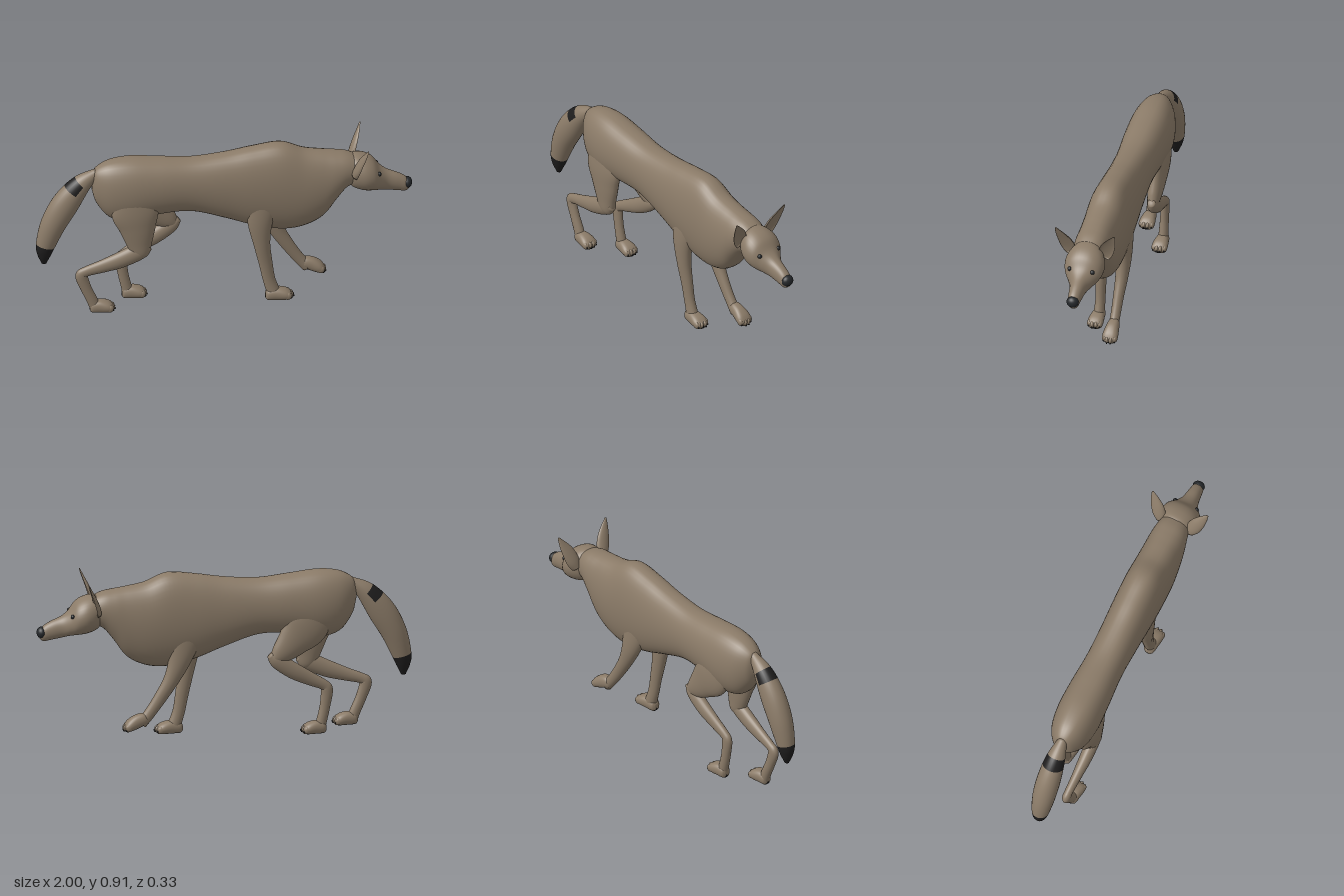
import * as THREE from 'three';

const fur = new THREE.MeshStandardMaterial({ color: 0x8b7b68 });
fur.name = 'brown fur';
const dark = new THREE.MeshStandardMaterial({ color: 0x1e1d1d });
dark.name = 'dark fur and pads';
const black = new THREE.MeshStandardMaterial({ color: 0x25282b });
black.name = 'nose and eye black';

// Smooth skin over elliptical rings [x, y, z, a, b]: a in the side plane, b sideways.
// opts: upright keeps rings in vertical planes, pow squares the ring, cup hollows the front,
// isDark(u, c) marks faces by ring position u and cosine c around the ring.
function loft(name, rings, { steps = 6, sides = 28, upright = false, pow = 1, cup = 0, isDark = null } = {}) {
  const curve = (f) => new THREE.CatmullRomCurve3(rings.map(f), false, 'catmullrom', 0.5);
  const path = curve((r) => new THREE.Vector3(r[0], r[1], r[2]));
  const size = curve((r) => new THREE.Vector3(r[3], r[4], 0));
  const n = (rings.length - 1) * steps;
  const pos = [];
  const faces = [[], []];
  for (let i = 0; i <= n; i++) {
    const p = path.getPoint(i / n);
    const s = size.getPoint(i / n);
    const t = upright ? new THREE.Vector3(1, 0, 0) : path.getTangent(i / n);
    const B = new THREE.Vector3(0, 0, 1).addScaledVector(t, -t.z).normalize();
    const A = new THREE.Vector3().crossVectors(B, t);
    for (let j = 0; j < sides; j++) {
      const th = (j / sides) * Math.PI * 2;
      let c = Math.cos(th);
      const sn = Math.sin(th);
      if (cup && c > 0) c *= -cup;
      const w = Math.sign(sn) * Math.abs(sn) ** pow;
      const v = p.clone().addScaledVector(A, c * s.x).addScaledVector(B, w * s.y);
      pos.push(v.x, v.y, v.z);
    }
  }
  const ends = [path.getPoint(0), path.getPoint(1)];
  ends.forEach((e) => pos.push(e.x, e.y, e.z));
  const first = (n + 1) * sides;
  for (let j = 0; j < sides; j++) {
    const k = (j + 1) % sides;
    const c = Math.cos(((j + 0.5) / sides) * Math.PI * 2);
    const bin = (u) => faces[isDark && isDark(u, c) ? 1 : 0];
    for (let i = 0; i < n; i++) {
      const a = i * sides + j, b = i * sides + k;
      bin((i + 0.5) / steps).push(a, b, b + sides, a, b + sides, a + sides);
    }
    bin(0).push(first, k, j);
    bin(n / steps).push(first + 1, n * sides + j, n * sides + k);
  }
  const g = new THREE.BufferGeometry();
  g.setAttribute('position', new THREE.Float32BufferAttribute(pos, 3));
  g.setIndex([...faces[0], ...faces[1]]);
  g.addGroup(0, faces[0].length, 0);
  g.addGroup(faces[0].length, faces[1].length, 1);
  g.computeVertexNormals();
  const mesh = new THREE.Mesh(g, [fur, dark]);
  mesh.name = name;
  return mesh;
}

// Upright section given as x, top, bottom, half width
const slice = ([x, top, bottom, w]) => [x, (top + bottom) / 2, 0, (top - bottom) / 2, w];

function ball(name, mat, x, y, z, rx, ry, rz) {
  const m = new THREE.Mesh(new THREE.SphereGeometry(1, 20, 14), mat);
  m.name = name;
  m.position.set(x, y, z);
  m.scale.set(rx, ry, rz);
  return m;
}

// Paw with dark sole, rounded toes and claws
function paw(name, x, y, z, tilt = 0, stretch = 1) {
  const g = new THREE.Group();
  g.name = name;
  const sections = [
    [-0.062, 0.045, 0.012, 0.012], [-0.05, 0.064, 0.002, 0.028], [-0.01, 0.071, 0, 0.036],
    [0.03, 0.062, 0, 0.042], [0.055, 0.046, 0.003, 0.037], [0.064, 0.034, 0.01, 0.02],
  ];
  g.add(loft('foot', sections.map(slice), { upright: true, pow: 0.75, isDark: (u, c) => c < -0.72 }));
  for (let i = 0; i < 4; i++) {
    const side = (i - 1.5) / 1.5;
    const tx = 0.054 - 0.012 * side * side;
    g.add(ball('toe', fur, tx, 0.027, side * 0.03, 0.018, 0.02, 0.012));
    g.add(ball('claw', dark, tx + 0.016, 0.02, side * 0.03, 0.006, 0.007, 0.004));
  }
  g.position.set(x, y, z);
  g.rotation.z = tilt;
  g.scale.x = stretch;
  return g;
}

export function createModel() {
  const model = new THREE.Group();
  model.name = 'walking canine';

  // Torso and neck
  const torso = [
    [-0.705, 0.80, 0.71, 0.02], [-0.68, 0.838, 0.63, 0.06], [-0.61, 0.872, 0.545, 0.1],
    [-0.5, 0.883, 0.52, 0.119], [-0.35, 0.868, 0.548, 0.116], [-0.18, 0.853, 0.55, 0.106],
    [0.0, 0.868, 0.492, 0.108], [0.15, 0.893, 0.435, 0.114], [0.3, 0.908, 0.4, 0.117],
    [0.42, 0.862, 0.412, 0.115], [0.52, 0.843, 0.465, 0.108], [0.59, 0.832, 0.56, 0.1],
    [0.65, 0.82, 0.63, 0.088], [0.72, 0.79, 0.65, 0.07],
  ];
  model.add(loft('torso', torso.map(slice), { upright: true, pow: 0.82, sides: 40 }));

  // Head and muzzle
  const head = [
    [0.645, 0.77, 0.66, 0.045], [0.68, 0.806, 0.622, 0.086], [0.735, 0.802, 0.603, 0.106],
    [0.785, 0.776, 0.597, 0.098], [0.825, 0.727, 0.592, 0.07], [0.865, 0.698, 0.583, 0.047],
    [0.92, 0.674, 0.573, 0.037], [0.96, 0.65, 0.567, 0.031], [0.98, 0.625, 0.58, 0.018],
  ];
  model.add(loft('head', head.map(slice), { upright: true, pow: 0.9, sides: 36 }));
  model.add(ball('nose', black, 0.97, 0.614, 0, 0.027, 0.031, 0.033));

  // Eyes and cupped ears
  for (const s of [1, -1]) {
    model.add(ball('eye', black, 0.814, 0.71, s * 0.062, 0.011, 0.012, 0.012));
    model.add(loft('ear', [
      [0.69, 0.725, s * 0.085, 0.026, 0.03], [0.7, 0.765, s * 0.1, 0.026, 0.039],
      [0.715, 0.815, s * 0.118, 0.02, 0.037], [0.732, 0.865, s * 0.141, 0.012, 0.023],
      [0.745, 0.907, s * 0.16, 0.004, 0.005],
    ].map(([x, y, z, a, b]) => [x, y, z, -a, -b]), { cup: 0.35 }));
  }

  // Tail with dark patch and tip
  model.add(loft('tail', [
    [-0.675, 0.815, 0, 0.022, 0.022], [-0.765, 0.742, 0, 0.055, 0.05],
    [-0.843, 0.637, 0, 0.073, 0.062], [-0.907, 0.52, 0, 0.068, 0.061],
    [-0.948, 0.4, 0, 0.053, 0.048], [-0.957, 0.34, 0, 0.038, 0.035], [-0.958, 0.283, 0, 0.013, 0.012],
  ], { steps: 10, isDark: (u, c) => u > 4.1 || (u > 0.9 && u < 1.45 && c < -0.1) }));

  // Front legs: left planted, right reaching
  model.add(loft('leftFrontLeg', [
    [0.2, 0.62, 0.065, 0.1, 0.04], [0.18, 0.48, 0.072, 0.068, 0.04], [0.188, 0.35, 0.072, 0.045, 0.035],
    [0.21, 0.22, 0.068, 0.036, 0.028], [0.228, 0.12, 0.066, 0.033, 0.026], [0.255, 0.035, 0.066, 0.036, 0.03],
  ]));
  model.add(paw('leftFrontPaw', 0.277, 0, 0.068, 0, 1.12));
  model.add(loft('rightFrontLeg', [
    [0.21, 0.6, -0.065, 0.1, 0.04], [0.245, 0.45, -0.07, 0.062, 0.04], [0.29, 0.34, -0.07, 0.042, 0.034],
    [0.35, 0.24, -0.068, 0.034, 0.028], [0.405, 0.16, -0.068, 0.03, 0.026], [0.45, 0.105, -0.068, 0.03, 0.028],
  ]));
  model.add(paw('rightFrontPaw', 0.467, 0.083, -0.07, -0.36, 1.08));

  // Hind legs: thigh, shank and hock
  model.add(loft('leftThigh', [
    [-0.5, 0.74, 0.06, 0.09, 0.04], [-0.485, 0.6, 0.072, 0.125, 0.048], [-0.472, 0.5, 0.075, 0.098, 0.045],
    [-0.463, 0.41, 0.075, 0.07, 0.04], [-0.455, 0.345, 0.075, 0.048, 0.034], [-0.455, 0.315, 0.075, 0.015, 0.014],
  ]));
  model.add(loft('leftShank', [
    [-0.41, 0.385, 0.076, 0.025, 0.022], [-0.46, 0.358, 0.076, 0.047, 0.034], [-0.56, 0.312, 0.074, 0.046, 0.033],
    [-0.66, 0.277, 0.07, 0.036, 0.026], [-0.745, 0.25, 0.066, 0.028, 0.022], [-0.768, 0.225, 0.065, 0.033, 0.023],
    [-0.745, 0.15, 0.064, 0.029, 0.023], [-0.715, 0.08, 0.063, 0.029, 0.025], [-0.695, 0.03, 0.063, 0.03, 0.026],
  ]));
  model.add(paw('leftHindPaw', -0.662, 0, 0.063));
  model.add(loft('rightThigh', [
    [-0.47, 0.74, -0.06, 0.09, 0.04], [-0.43, 0.61, -0.072, 0.125, 0.046], [-0.36, 0.52, -0.075, 0.09, 0.042],
    [-0.295, 0.455, -0.075, 0.058, 0.036], [-0.255, 0.42, -0.075, 0.03, 0.026],
  ]));
  model.add(loft('rightShank', [
    [-0.235, 0.45, -0.075, 0.02, 0.02], [-0.275, 0.415, -0.075, 0.042, 0.032], [-0.36, 0.355, -0.073, 0.044, 0.032],
    [-0.45, 0.305, -0.068, 0.036, 0.026], [-0.525, 0.265, -0.064, 0.028, 0.022], [-0.54, 0.235, -0.063, 0.032, 0.023],
    [-0.53, 0.15, -0.062, 0.028, 0.023], [-0.515, 0.08, -0.062, 0.028, 0.025], [-0.502, 0.03, -0.062, 0.03, 0.026],
  ]));
  model.add(paw('rightHindPaw', -0.474, 0, -0.062));

  return model;
}
